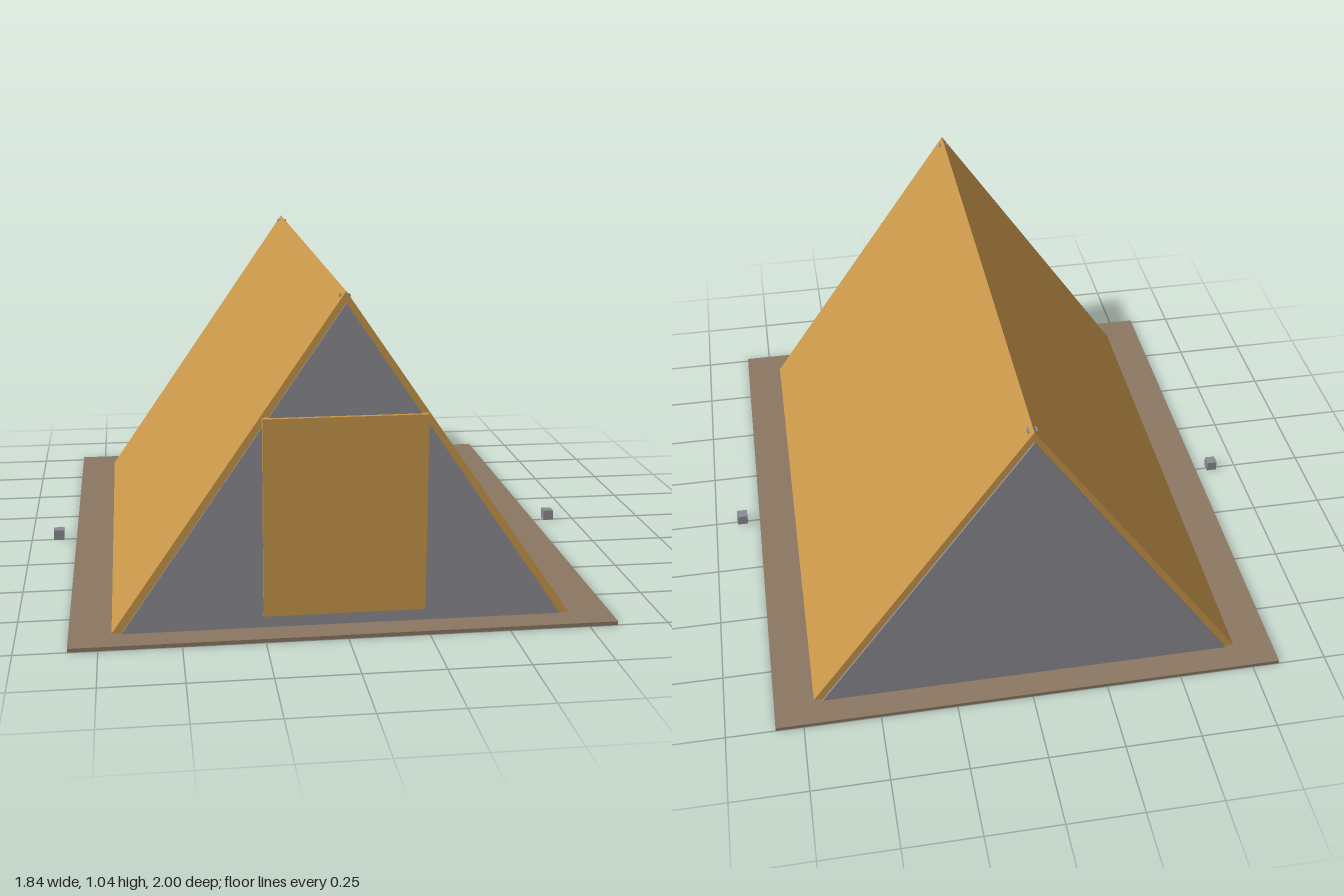
import * as THREE from 'three';

export function createModel() {
  const model = new THREE.Group();
  model.name = 'tent';
  const material = (name, color) => {
    const m = new THREE.MeshStandardMaterial({ color });
    m.name = name;
    return m;
  };
  const canvas = material('ochre canvas', 0xc8964a);
  const grey = material('grey', 0x8a8b92);
  const brown = material('brown groundsheet', 0x8b7763);

  const add = (name, geometry, mat, x, y, z) => {
    const mesh = new THREE.Mesh(geometry, mat);
    mesh.name = name;
    mesh.position.set(x, y, z);
    model.add(mesh);
    return mesh;
  };
  const polygon = (points) => new THREE.Shape(points.map(([x, y]) => new THREE.Vector2(x, y)));
  const extrude = (points, depth) =>
    new THREE.ExtrudeGeometry(polygon(points), { depth, bevelEnabled: false });

  // Groundsheet
  add('groundsheet', new THREE.BoxGeometry(1.68, 0.012, 2), brown, 0, 0.006, 0);

  // Two sloping roof panels meeting at the ridge
  const right = [[-0.71, 0.012], [-0.675, 0.012], [0, 0.99], [0, 1.045]];
  const left = right.map(([x, y]) => [-x, y]);
  add('rightRoof', extrude(right, 1.81), canvas, 0, 0, -0.905);
  add('leftRoof', extrude(left, 1.81), canvas, 0, 0, -0.905);

  // Triangular end walls, standing slightly proud of the roof edges
  const wall = extrude([[-0.68, 0.012], [0.68, 0.012], [0, 1.01]], 0.012);
  add('frontWall', wall, grey, 0, 0, 0.9);
  add('backWall', wall, grey, 0, 0, -0.912);

  // Door flap
  add('doorFlap', new THREE.BoxGeometry(0.5, 0.62, 0.02), canvas, 0, 0.362, 0.915);

  // Upright poles poking through below the ridge, and side pegs
  for (const s of [1, -1]) {
    const end = s > 0 ? 'front' : 'back';
    add(end + 'Pole', new THREE.CylinderGeometry(0.018, 0.018, 1.02, 6), grey, 0, 0.522, s * 0.873);
    const side = s > 0 ? 'left' : 'right';
    add(side + 'Peg', new THREE.BoxGeometry(0.036, 0.036, 0.036), grey, s * 0.903, 0.022, 0);
  }
  return model;
}
